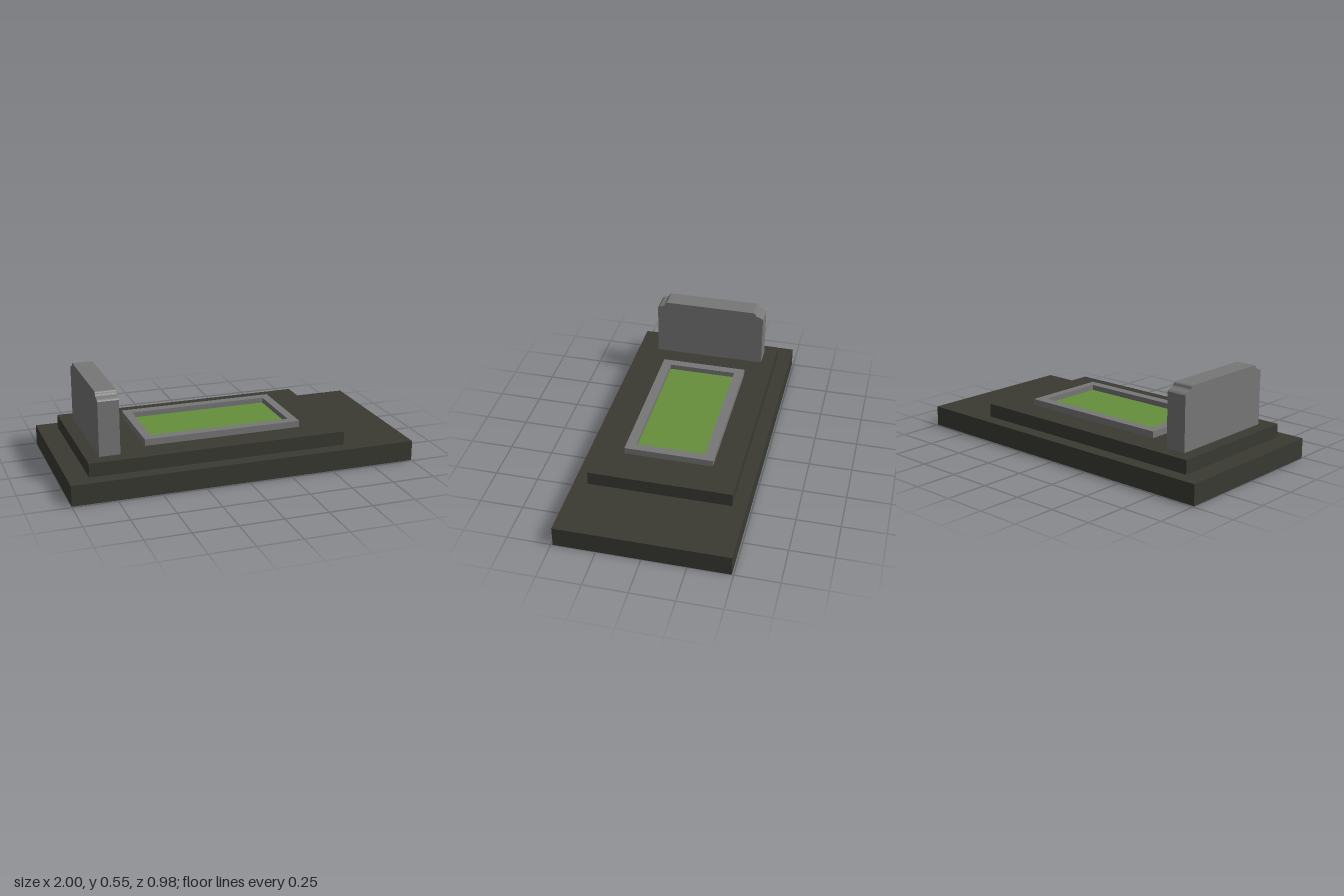
import * as THREE from 'three';

const stone = new THREE.MeshStandardMaterial({ color: 0x3a3a33 });
stone.name = 'dark stone';
const granite = new THREE.MeshStandardMaterial({ color: 0x777777 });
granite.name = 'grey granite';
const grass = new THREE.MeshStandardMaterial({ color: 0x668f3b });
grass.name = 'grass green';

// Box given by its limits in x and y and its half depth in z
function slab(name, x0, x1, y0, y1, halfZ, material) {
  const mesh = new THREE.Mesh(new THREE.BoxGeometry(x1 - x0, y1 - y0, halfZ * 2), material);
  mesh.position.set((x0 + x1) / 2, (y0 + y1) / 2, 0);
  mesh.name = name;
  return mesh;
}

function rectangle(PathType, x0, x1, halfZ) {
  return new PathType([[x0, -halfZ], [x1, -halfZ], [x1, halfZ], [x0, halfZ]]
    .map(([x, z]) => new THREE.Vector2(x, z)));
}

// Raised kerb with an open middle
function createKerb() {
  const shape = rectangle(THREE.Shape, -0.53, 0.39, 0.255);
  shape.holes.push(rectangle(THREE.Path, -0.48, 0.34, 0.2));
  const geometry = new THREE.ExtrudeGeometry(shape, { depth: 0.038, bevelEnabled: false });
  geometry.rotateX(-Math.PI / 2).translate(0, 0.197, 0);
  const mesh = new THREE.Mesh(geometry, granite);
  mesh.name = 'kerb';
  return mesh;
}

// Upright stone with curved shoulders
function createHeadstone() {
  const shape = new THREE.Shape();
  shape.moveTo(-0.332, 0.197);
  shape.lineTo(0.332, 0.197);
  shape.lineTo(0.332, 0.508);
  shape.quadraticCurveTo(0.322, 0.52, 0.302, 0.524);
  shape.bezierCurveTo(0.278, 0.53, 0.29, 0.546, 0.272, 0.55);
  shape.lineTo(-0.272, 0.55);
  shape.bezierCurveTo(-0.29, 0.546, -0.278, 0.53, -0.302, 0.524);
  shape.quadraticCurveTo(-0.322, 0.52, -0.332, 0.508);
  shape.closePath();
  const geometry = new THREE.ExtrudeGeometry(shape, { depth: 0.118, bevelEnabled: false, curveSegments: 8 });
  geometry.rotateY(Math.PI / 2).translate(-0.807, 0, 0);
  const mesh = new THREE.Mesh(geometry, granite);
  mesh.name = 'headstone';
  return mesh;
}

export function createModel() {
  const model = new THREE.Group();
  model.name = 'grave';
  model.add(
    slab('lowerSlab', -1, 1, 0, 0.118, 0.49, stone),
    slab('upperSlab', -0.883, 0.603, 0.118, 0.197, 0.41, stone),
    createKerb(),
    slab('lawn', -0.48, 0.34, 0.197, 0.204, 0.2, grass),
    createHeadstone(),
  );
  return model;
}
